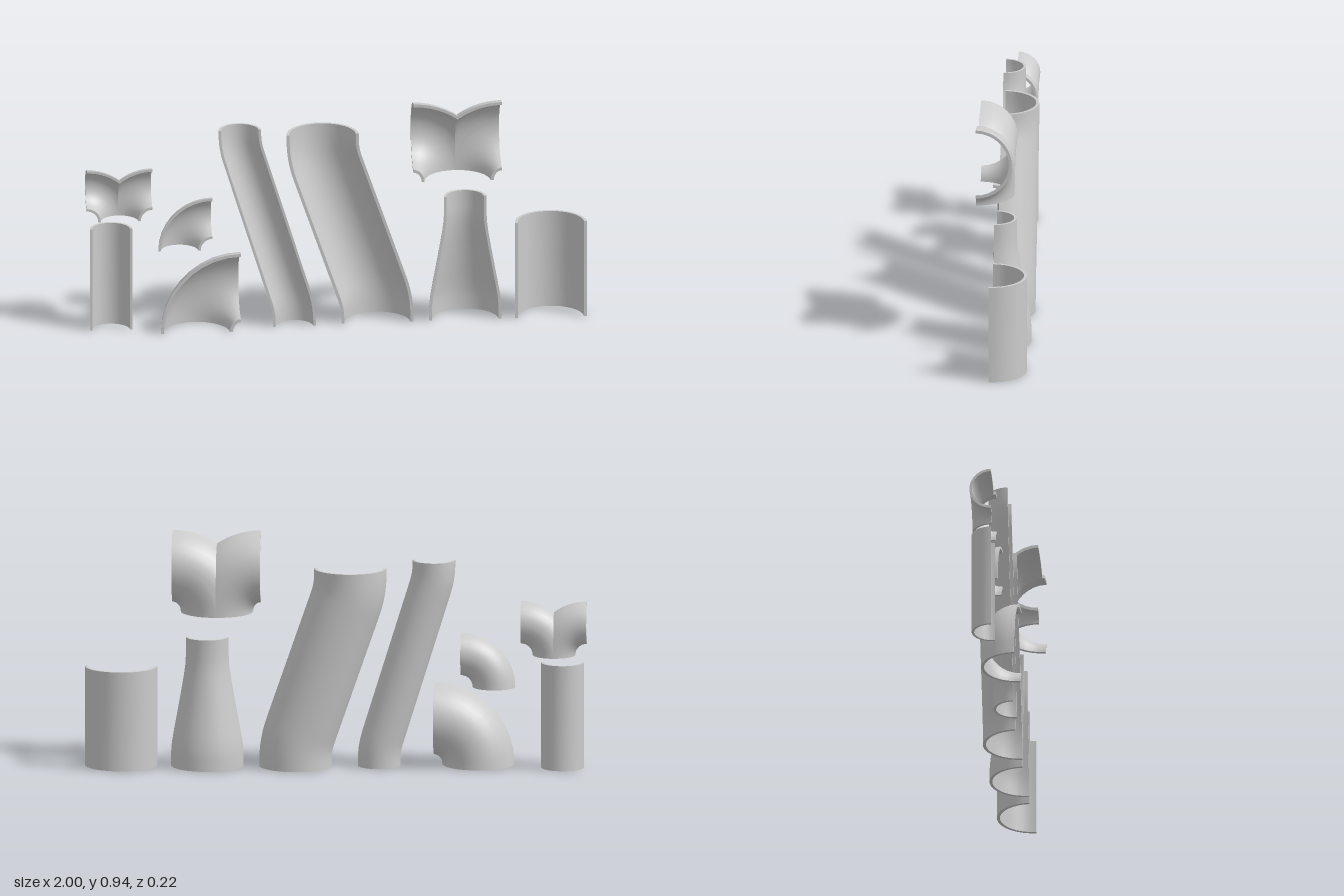
import * as THREE from 'three';
import { mergeGeometries } from 'three/addons/utils/BufferGeometryUtils.js';

const ARC = 16; // segments round each half pipe
const LARGE = { r: 0.144, wall: 0.012, bend: 0.176, rise: 0.008 };
const SMALL = { r: 0.085, wall: 0.010, bend: 0.131, rise: 0.001 };

// Smooth patch over (a, b) in 0..1; its front is along da x db
function patch(f, na, nb) {
  const pos = [], uv = [], index = [];
  for (let i = 0; i <= na; i++) {
    for (let j = 0; j <= nb; j++) {
      pos.push(...f(i / na, j / nb));
      uv.push(i / na, j / nb);
    }
  }
  for (let i = 0; i < na; i++) {
    for (let j = 0; j < nb; j++) {
      const p = i * (nb + 1) + j, q = p + nb + 1;
      index.push(p, q, q + 1, p, q + 1, p + 1);
    }
  }
  const g = new THREE.BufferGeometry();
  g.setAttribute('position', new THREE.Float32BufferAttribute(pos, 3));
  g.setAttribute('uv', new THREE.Float32BufferAttribute(uv, 2));
  g.setIndex(index);
  g.computeVertexNormals();
  return g;
}

// Walled half pipe from point(u along, v round, k from outer to inner wall)
function shell(point, steps) {
  return mergeGeometries([
    patch((v, u) => point(u, v, 0), ARC, steps), // outside
    patch((u, v) => point(u, v, 1), steps, ARC), // inside
    patch((u, k) => point(u, 0, k), steps, 1),   // long rims
    patch((k, u) => point(u, 1, k), 1, steps),
    patch((k, v) => point(0, v, k), 1, ARC),     // end rims
    patch((v, k) => point(1, v, k), ARC, 1),
  ]);
}

// Upright half pipe following a profile of [radius, height]
function turned(profile, wall) {
  const n = profile.length - 1;
  return shell((u, v, k) => {
    const [radius, y] = profile[Math.round(u * n)];
    const r = radius - k * wall, a = v * Math.PI;
    return [r * Math.cos(a), y, -r * Math.sin(a)];
  }, n);
}

const straight = (size, height) => turned([[size.r, 0], [size.r, height]], size.wall);

// Half pipe stepping sideways between two vertical ends
function offset(size, shift, height, low, high, ease) {
  const d = new THREE.Vector2(shift, high - low).normalize().multiplyScalar(ease);
  const path = new THREE.Path();
  path.moveTo(0, 0);
  path.lineTo(0, low - ease);
  path.quadraticCurveTo(0, low, d.x, low + d.y);
  path.lineTo(shift - d.x, high - d.y);
  path.quadraticCurveTo(shift, high, shift, high + ease);
  path.lineTo(shift, height);
  return shell((u, v, k) => {
    const c = path.getPointAt(u), t = path.getTangentAt(u);
    const r = size.r - k * size.wall, a = v * Math.PI, s = r * Math.cos(a);
    return [c.x + t.y * s, c.y - t.x * s, -r * Math.sin(a)];
  }, 40);
}

// Quarter bend turning to +x; trimmed keeps only x >= 0, mirrored turns to -x
function elbow(size, trimmed = false, mirrored = false) {
  const side = mirrored ? -1 : 1;
  return shell((u, v, k) => {
    const a = (mirrored ? 1 - v : v) * Math.PI;
    const r = size.r - k * size.wall;
    const reach = size.bend - r * Math.cos(a);
    const start = trimmed && reach > size.bend ? Math.acos(size.bend / reach) : 0;
    const t = start + (Math.PI / 2 - start) * u;
    return [
      side * (size.bend - reach * Math.cos(t)),
      (reach + size.rise) * Math.sin(t),
      -r * Math.sin(a),
    ];
  }, 9);
}

// Two bends meeting in a seam
const tee = (size) => mergeGeometries([elbow(size, true), elbow(size, true, true)]);

export function createModel() {
  const model = new THREE.Group();
  const material = new THREE.MeshStandardMaterial({ color: 0xcccccc });
  const add = (name, geometry, x, y, z) => {
    const mesh = new THREE.Mesh(geometry, material);
    mesh.name = name;
    mesh.position.set(x, y, z);
    model.add(mesh);
  };

  // Small fittings
  add('smallStraightPipe', straight(SMALL, 0.425), -0.9, 0, 0.046);
  add('smallTee', tee(SMALL), -0.866, 0.455, 0.046);
  add('smallElbow', elbow(SMALL), -0.627, 0.325, 0.046);
  add('smallOffsetPipe', offset(SMALL, -0.218, 0.833, 0.07, 0.77, 0.05), -0.17, 0, 0.063);

  // Large fittings
  add('largeElbow', elbow(LARGE), -0.563, 0, 0.11);
  add('largeOffsetPipe', offset(LARGE, -0.218, 0.8, 0.085, 0.715, 0.06), 0.162, 0, 0.047);
  add('largeTee', tee(LARGE), 0.477, 0.61, 0.11);
  add('largeStraightPipe', straight(LARGE, 0.4), 0.855, 0, 0.036);

  // Reducer from the large to the small bore
  add('reducer', turned([
    [0.144, 0], [0.144, 0.05], [0.141, 0.09], [0.133, 0.14], [0.121, 0.205],
    [0.104, 0.3], [0.093, 0.365], [0.087, 0.41], [0.085, 0.45], [0.085, 0.52],
  ], 0.011), 0.513, 0, 0.04);

  return model;
}
